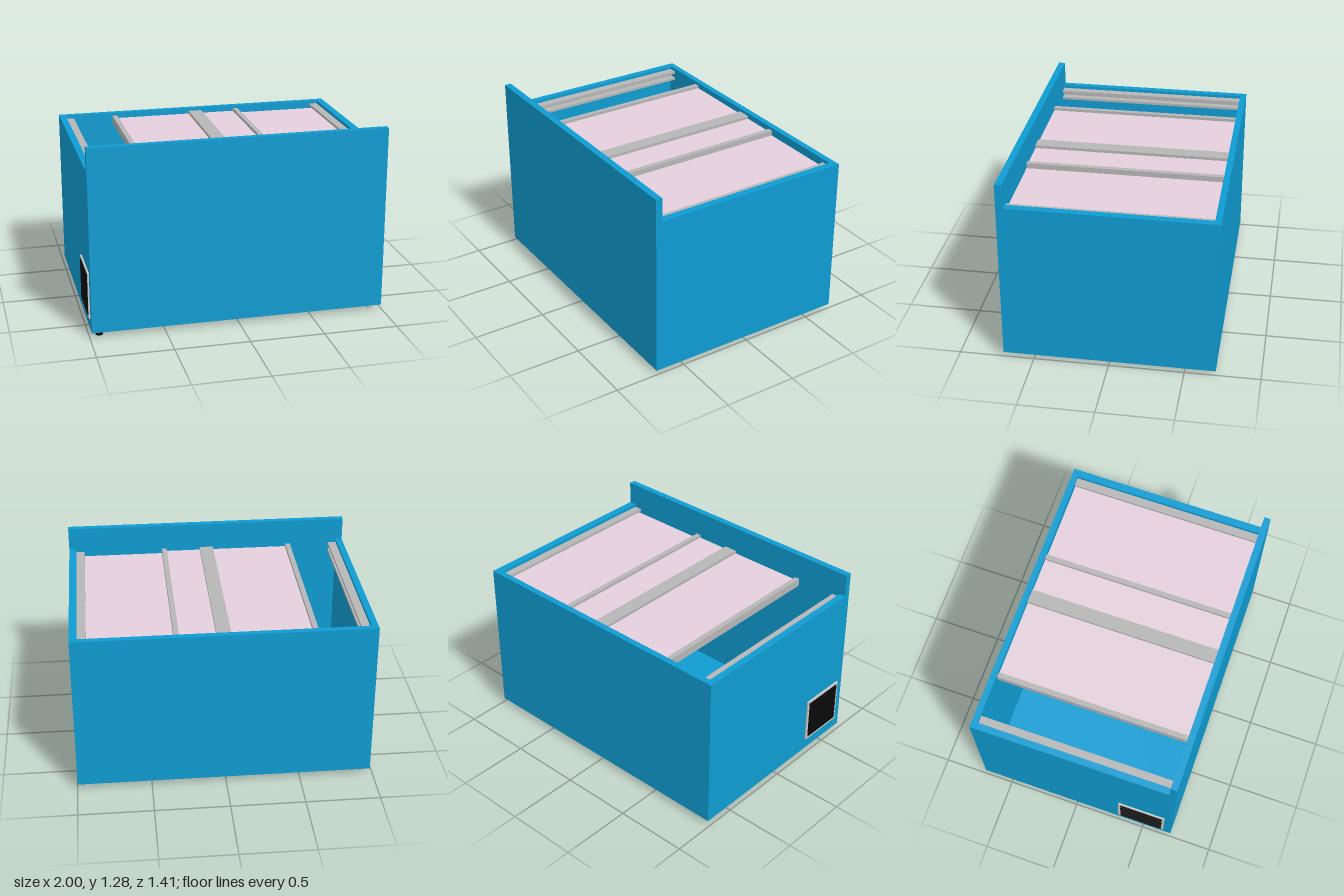
import * as THREE from 'three';

const mat = (color) => new THREE.MeshStandardMaterial({ color });

export function createModel() {
  const root = new THREE.Group();
  const blue = mat(0x0f9cd2), pink = mat(0xe4d0dc), rail = mat(0xb6b6b6);
  const grey = mat(0xcccccc), black = mat(0x080808);

  // box given by its limits on each axis
  const box = (name, material, [x0, x1], [y0, y1], [z0, z1], parent = root) => {
    const m = new THREE.Mesh(new THREE.BoxGeometry(x1 - x0, y1 - y0, z1 - z0), material);
    m.position.set((x0 + x1) / 2, (y0 + y1) / 2, (z0 + z1) / 2);
    m.name = name;
    parent.add(m);
    return m;
  };

  const X = [-0.985, 0.998], Z = [-0.705, 0.705], inX = [-0.94, 0.947], inZ = [-0.663, 0.66];
  const base = 0.03, rim = 1.12;

  // open cabinet: floor, four walls and the taller front panel
  const cabinet = new THREE.Group();
  cabinet.name = 'cabinet';
  root.add(cabinet);
  box('floor', blue, inX, [base, 0.08], inZ, cabinet);
  box('rightWall', blue, [X[0], inX[0]], [base, rim], inZ, cabinet);
  box('leftWall', blue, [inX[1], X[1]], [base, rim], inZ, cabinet);
  box('backWall', blue, X, [base, rim], [Z[0], inZ[0]], cabinet);
  box('frontPanel', blue, X, [base, 1.28], [inZ[1], Z[1]], cabinet);

  // grooved end rails, one on each short wall
  for (const [name, x, s] of [['rightRail', inX[0], 1], ['leftRail', inX[1], -1]]) {
    const profile = new THREE.Shape();
    [[0, 1.03], [0.057, 1.03], [0.057, 1.048], [0.012, 1.048], [0.012, 1.08],
      [0.057, 1.08], [0.057, 1.098], [0, 1.098]]
      .forEach(([px, py], i) => profile[i ? 'lineTo' : 'moveTo'](x + s * px, py));
    const geo = new THREE.ExtrudeGeometry(profile, { depth: inZ[1] - inZ[0], bevelEnabled: false });
    const m = new THREE.Mesh(geo, rail);
    m.position.z = inZ[0];
    m.name = name;
    root.add(m);
  }

  // sliding lids: panes framed by raised cross bars
  box('upperPane', pink, [-0.58, 0.32], [1.065, 1.08], inZ);
  box('lowerPane', pink, [0.0, 0.935], [1.05, 1.064], inZ);
  for (const [x0, x1] of [[-0.602, -0.567], [-0.038, 0.058], [0.298, 0.333]])
    box('crossBar', rail, [x0, x1], [1.045, 1.1], inZ);

  // side vent: frame, dark backing and slats
  const vent = new THREE.Group();
  vent.name = 'vent';
  root.add(vent);
  const vx = [-0.995, X[0]], vy = [0.11, 0.43], vz = [0.315, 0.65], t = 0.017;
  box('frameBottom', grey, vx, [vy[0], vy[0] + t], vz, vent);
  box('frameTop', grey, vx, [vy[1] - t, vy[1]], vz, vent);
  const openY = [vy[0] + t, vy[1] - t], openZ = [vz[0] + t, vz[1] - t];
  box('frameBack', grey, vx, openY, [vz[0], openZ[0]], vent);
  box('frameFront', grey, vx, openY, [openZ[1], vz[1]], vent);
  box('backing', black, [-0.988, X[0]], openY, openZ, vent);
  const slats = 16, pitch = (openY[1] - openY[0]) / slats;
  for (let i = 0; i < slats; i++) {
    const y = openY[0] + (i + 0.5) * pitch;
    box('slat', black, [-1, -0.987], [y - 0.005, y + 0.005], openZ, vent);
  }

  // four feet, the front right one dark
  for (const x of [-0.932, 0.932]) for (const z of [-0.658, 0.658]) {
    const foot = new THREE.Mesh(new THREE.CylinderGeometry(0.025, 0.025, base, 16), x < 0 && z > 0 ? black : grey);
    foot.position.set(x, base / 2, z);
    foot.name = 'foot';
    root.add(foot);
  }
  return root;
}
